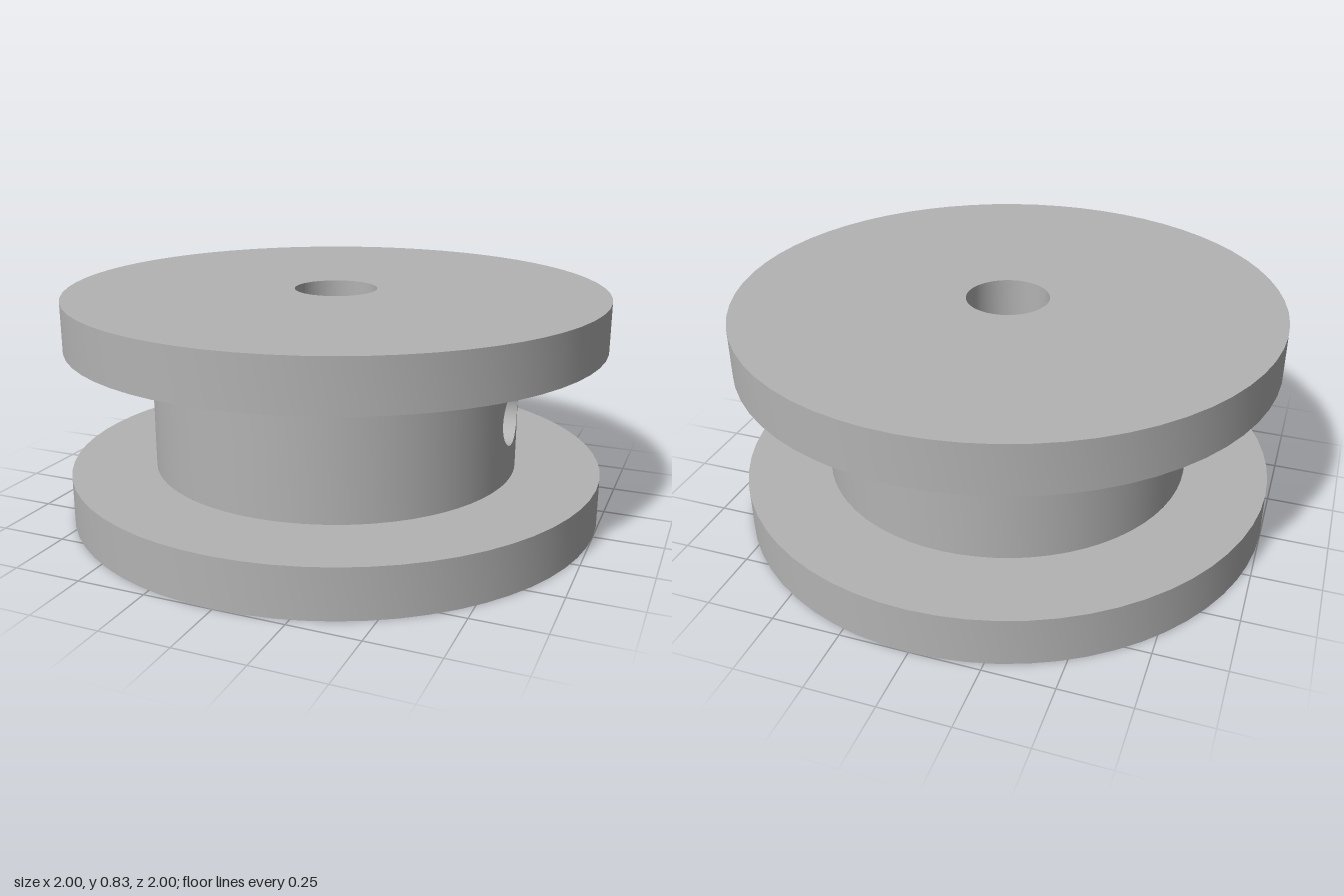
import * as THREE from 'three';
import { mergeGeometries, toCreasedNormals } from 'three/addons/utils/BufferGeometryUtils.js';

const TAU = Math.PI * 2, SEG = 64;
const FLANGE_R = 1, HUB_R = 0.687, BORE_R = 0.333, SHAFT_R = 0.153;
const LOW = 0.18, HIGH = 0.653, TOP = 0.833, SHELF = 0.49; // levels
const HOLE_R = 0.105, HOLE_Y = 0.415;                      // side hole along +x
const CUT = Math.asin((SHELF - HOLE_Y) / HOLE_R);          // where the hole crosses the shelf
const NOTCH = HOLE_R * Math.cos(CUT);                      // half width of the slot in the shelf

const polar = (r, a, y) => [r * Math.cos(a), y, r * Math.sin(a)];
const onWall = (r, z, y) => [Math.sqrt(r * r - z * z), y, z];

// Surface between two curves a(t) and b(t)
function ribbon(a, b, t0 = 0, t1 = TAU, n = SEG) {
  const pos = [], index = [];
  for (let i = 0; i <= n; i++) {
    const t = t0 + (t1 - t0) * i / n;
    pos.push(...a(t), ...b(t));
    if (i < n) {
      const k = i * 2;
      index.push(k, k + 2, k + 1, k + 1, k + 2, k + 3);
    }
  }
  const g = new THREE.BufferGeometry();
  g.setAttribute('position', new THREE.Float32BufferAttribute(pos, 3));
  g.setIndex(index);
  return g.toNonIndexed();
}

// Round band from (r1, y1) to (r2, y2), leaving a gap of half width z around +x
function band(r1, y1, r2, y2, z = 0) {
  const g1 = Math.asin(z / r1), g2 = Math.asin(z / r2);
  const at = (r, g, y) => u => polar(r, g + (TAU - 2 * g) * u, y);
  return ribbon(at(r1, g1, y1), at(r2, g2, y2), 0, 1);
}

// Strip of a wall above (+1) or below (-1) the side hole
function holeStrip(r, edgeY, side, outward, t0 = 0, t1 = Math.PI) {
  const rim = t => {
    const y = HOLE_Y + side * HOLE_R * Math.sin(t);
    return onWall(r, -HOLE_R * Math.cos(t), side > 0 ? Math.min(y, edgeY) : y);
  };
  const edge = t => onWall(r, -HOLE_R * Math.cos(t), edgeY);
  return (side > 0) === outward ? ribbon(edge, rim, t0, t1, 24) : ribbon(rim, edge, t0, t1, 24);
}

// Lining of the side hole from the hub surface inwards to radius r
function lining(r, t0, t1) {
  const at = R => t => onWall(R, HOLE_R * Math.cos(t), HOLE_Y + HOLE_R * Math.sin(t));
  return ribbon(at(r), at(HUB_R), t0, t1, 32);
}

export function createModel() {
  const group = new THREE.Group();
  const grey = new THREE.MeshStandardMaterial({ color: 0xb3b3b3 });
  grey.name = 'grey metal';
  const add = (name, ...parts) => {
    const mesh = new THREE.Mesh(toCreasedNormals(mergeGeometries(parts), 0.6), grey);
    mesh.name = name;
    group.add(mesh);
  };

  add('lowerFlange',
    band(FLANGE_R, LOW, FLANGE_R, 0),
    band(HUB_R, LOW, FLANGE_R, LOW),
    band(FLANGE_R, 0, BORE_R, 0));

  add('upperFlange',
    band(FLANGE_R, TOP, FLANGE_R, HIGH),
    band(SHAFT_R, TOP, FLANGE_R, TOP),
    band(FLANGE_R, HIGH, HUB_R, HIGH));

  add('hub',
    band(HUB_R, HIGH, HUB_R, LOW, HOLE_R),
    holeStrip(HUB_R, HIGH, 1, true),
    holeStrip(HUB_R, LOW, -1, true));

  // Wide bore from below, with its ceiling slotted by the side hole
  add('wideBore',
    band(BORE_R, 0, BORE_R, SHELF, HOLE_R),
    holeStrip(BORE_R, SHELF, 1, false),
    holeStrip(BORE_R, 0, -1, false),
    band(BORE_R, SHELF, SHAFT_R, SHELF, NOTCH));

  add('shaftHole',
    band(SHAFT_R, SHELF, SHAFT_R, TOP, NOTCH),
    holeStrip(SHAFT_R, TOP, 1, false, CUT, Math.PI - CUT));

  add('sideHole',
    lining(BORE_R, Math.PI - CUT, TAU + CUT),
    lining(SHAFT_R, CUT, Math.PI - CUT));

  return group;
}
